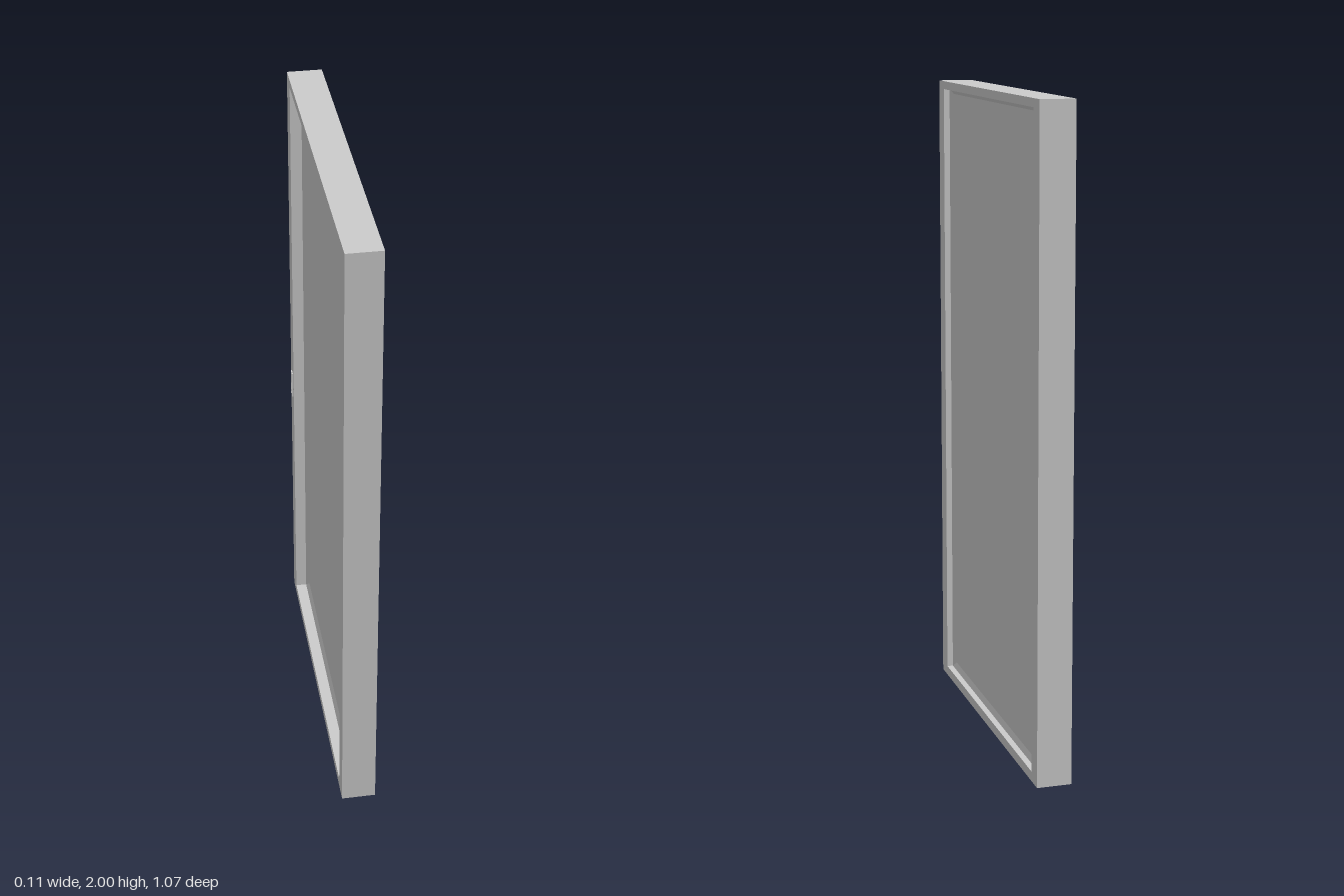
import * as THREE from 'three';

const material = new THREE.MeshStandardMaterial({ color: 0xcccccc, flatShading: true });

// Rectangle outline in the z (as shape x = -z) / y plane
function rect(path, z0, y0, z1, y1) {
  path.moveTo(-z0, y0);
  path.lineTo(-z1, y0);
  path.lineTo(-z1, y1);
  path.lineTo(-z0, y1);
  path.closePath();
  return path;
}

// Extrude a shape so that it spans x0..x1
function extrudeX(shape, x0, x1) {
  const g = new THREE.ExtrudeGeometry(shape, { depth: x1 - x0, bevelEnabled: false });
  g.rotateY(Math.PI / 2);
  g.translate(x0, 0, 0);
  return g;
}

// Sloped rectangular bead: outer loop at xOuter, inner loop at xInner
function beadGeometry(xOuter, xInner, half, y0, y1, inset) {
  const loop = (x, d) => [
    [x, y0 + d, half - d], [x, y0 + d, -half + d],
    [x, y1 - d, -half + d], [x, y1 - d, half - d],
  ];
  const a = loop(xOuter, 0), b = loop(xInner, inset), pos = [];
  const flip = xOuter < xInner;
  for (let i = 0; i < 4; i++) {
    const j = (i + 1) % 4;
    const tris = flip ? [a[i], b[j], a[j], a[i], b[i], b[j]] : [a[i], a[j], b[j], a[i], b[j], b[i]];
    tris.forEach((p) => pos.push(...p));
  }
  const g = new THREE.BufferGeometry();
  g.setAttribute('position', new THREE.Float32BufferAttribute(pos, 3));
  g.computeVertexNormals();
  return g;
}

export function createModel() {
  const model = new THREE.Group();
  model.name = 'framedPanel';
  const add = (name, geometry) => {
    const mesh = new THREE.Mesh(geometry, material);
    mesh.name = name;
    model.add(mesh);
    return mesh;
  };

  const xBack = -0.051, xFront = 0.055;
  const half = 0.48, y0 = 0.03, y1 = 1.975;
  const panelBack = -0.006, panelFront = 0.026;

  // Outer frame with a rectangular opening
  const outline = rect(new THREE.Shape(), 0.537, 0, -0.537, 2);
  outline.holes.push(rect(new THREE.Path(), half, y0, -half, y1));
  add('frame', extrudeX(outline, xBack, xFront));

  // Infill panel set back from both faces
  const panel = new THREE.BoxGeometry(panelFront - panelBack, y1 - y0, half * 2);
  panel.translate((panelFront + panelBack) / 2, (y0 + y1) / 2, 0);
  add('panel', panel);

  // Sloped glazing beads around both sides of the panel
  add('frontBead', beadGeometry(panelFront + 0.01, panelFront, half, y0, y1, 0.015));
  add('backBead', beadGeometry(panelBack - 0.01, panelBack, half, y0, y1, 0.015));

  // Slim recessed pull on the back face of one stile
  const plate = rect(new THREE.Shape(), -0.493, 0.842, -0.518, 0.932);
  plate.holes.push(rect(new THREE.Path(), -0.498, 0.85, -0.513, 0.924));
  add('pullPlate', extrudeX(plate, -0.055, xBack));

  return model;
}
